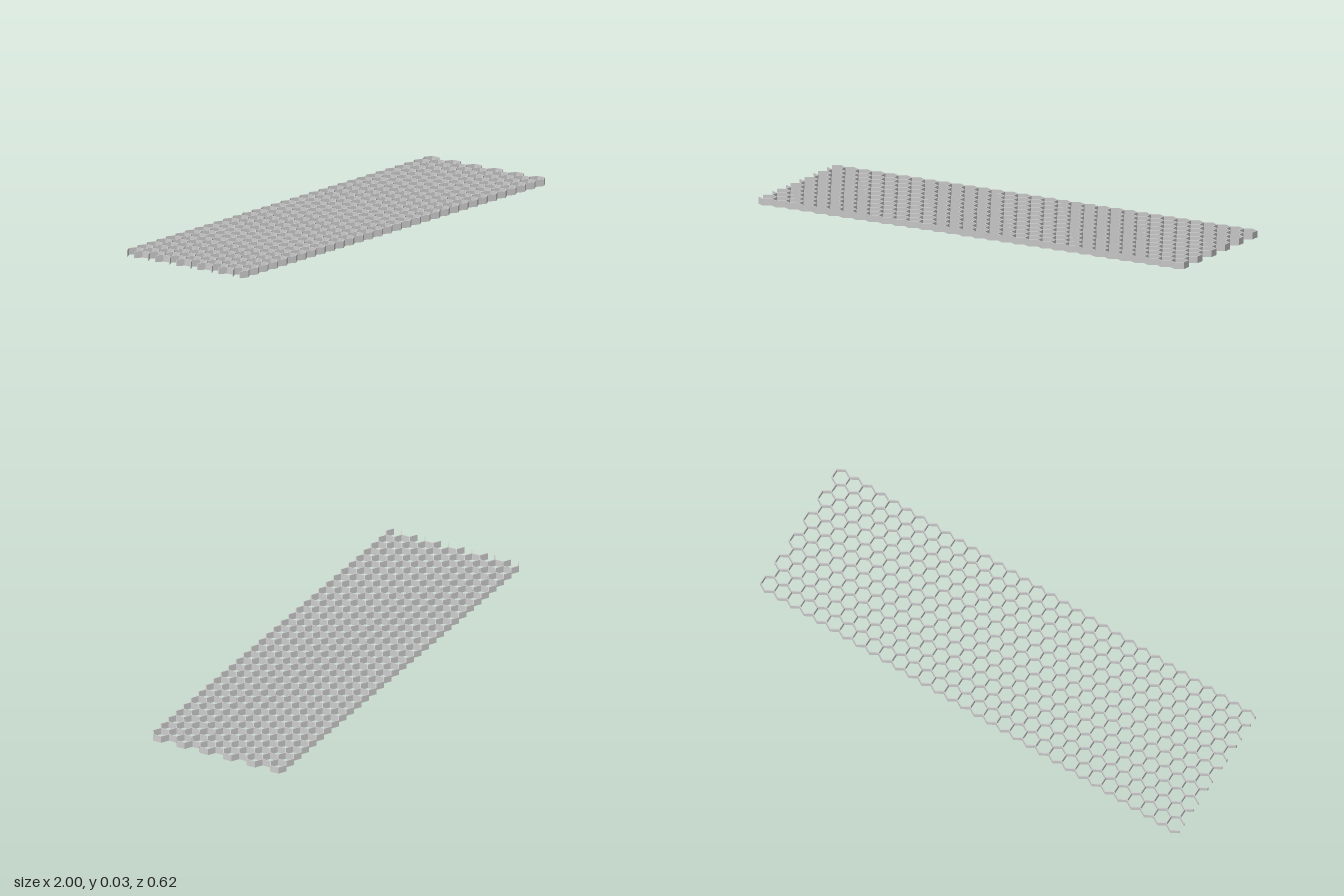
import * as THREE from 'three';

const ROWS = 11, COLS = 32;
const T = 0.0036;                 // wall thickness
const H = 0.028;                  // panel height
const W = (2 - T / 2) / COLS;     // cell pitch along x
const S = W / Math.sqrt(3);       // cell side
const D = T / Math.sqrt(3);       // corner offset of half a wall
const R = S + D, r = S - D;       // outer and inner corner radii
const rowY = j => (j - (ROWS - 1) / 2) * 1.5 * S;

function hexHole(cx, cy) {
  const pts = [];
  for (let k = 0; k < 6; k++) {
    const a = Math.PI / 2 - k * Math.PI / 3;
    pts.push(new THREE.Vector2(cx + r * Math.cos(a), cy + r * Math.sin(a)));
  }
  return new THREE.Path(pts);
}

function outline() {
  const pts = [], half = COLS / 2 * W;
  const add = (x, y) => pts.push(new THREE.Vector2(x, y));
  const yTop = rowY(ROWS - 1), yLow = rowY(0), inner = W / 2 - T / 2;

  // front zigzag, left to right
  for (let i = 0; i < COLS; i++) {
    add(-half + i * W, yLow - S / 2 - D);
    add(-half + (i + 0.5) * W, yLow - R);
  }
  // closed right end: long rows stand out, short rows sit back
  for (let j = 0; j < ROWS; j++) {
    const y = rowY(j), long = j % 2 === 0;
    const x = long ? half + T / 2 : half - inner, q = long ? R / 2 : r / 2;
    add(x, y - q);
    add(x, y + q);
  }
  // back zigzag, right to left
  for (let i = COLS - 1; i >= 0; i--) {
    add(-half + (i + 0.5) * W, yTop + R);
    add(-half + i * W, yTop + S / 2 + D);
  }
  // open left end: the first cell of each long row has no end wall
  for (let j = ROWS - 1; j >= 0; j--) {
    const y = rowY(j);
    if (j % 2 === 0) {
      const cx = -half + W / 2;
      add(-half, y + S / 2 - D);
      add(cx, y + r);
      add(cx + inner, y + r / 2);
      add(cx + inner, y - r / 2);
      add(cx, y - r);
      add(-half, y - S / 2 + D);
    } else {
      add(-half, y + r);
      add(-half + inner, y + r / 2);
      add(-half + inner, y - r / 2);
      add(-half, y - r);
    }
  }
  return pts;
}

export function createModel() {
  const group = new THREE.Group();
  group.name = 'honeycombPanel';

  const shape = new THREE.Shape(outline());
  for (let j = 0; j < ROWS; j++) {
    const long = j % 2 === 0;
    for (let i = 1; i < COLS; i++) {
      const cx = (i - COLS / 2 + (long ? 0.5 : 0)) * W;
      shape.holes.push(hexHole(cx, rowY(j)));
    }
  }

  const geometry = new THREE.ExtrudeGeometry(shape, { depth: H, bevelEnabled: false });
  geometry.rotateX(-Math.PI / 2);
  geometry.translate(-T / 4, 0, 0);

  const mesh = new THREE.Mesh(geometry, new THREE.MeshStandardMaterial({ color: 0xcccccc }));
  mesh.name = 'honeycombWalls';
  group.add(mesh);
  return group;
}
